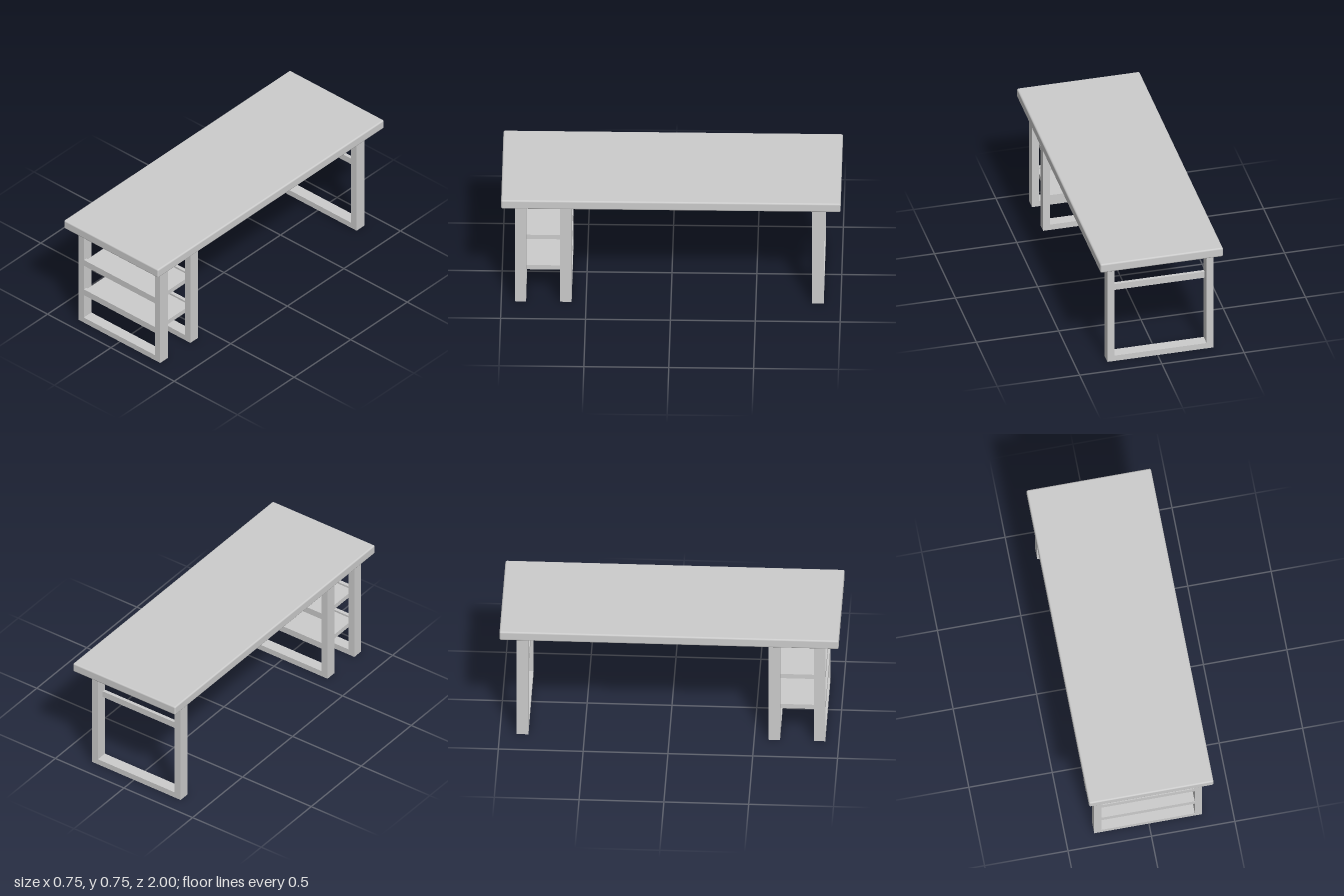
import * as THREE from 'three';
import { RoundedBoxGeometry } from 'three/addons/geometries/RoundedBoxGeometry.js';

const material = new THREE.MeshStandardMaterial({ color: 0xcccccc });

// Box given by its lower and upper limits on each axis
function box(name, [x0, x1], [y0, y1], [z0, z1]) {
  const mesh = new THREE.Mesh(new THREE.BoxGeometry(x1 - x0, y1 - y0, z1 - z0), material);
  mesh.name = name;
  mesh.position.set((x0 + x1) / 2, (y0 + y1) / 2, (z0 + z1) / 2);
  return mesh;
}

// Closed rectangular leg frame: outline with one opening, extruded along z
function legFrame(name, xCentre, z0, z1) {
  const outer = 0.323, inner = 0.28;
  const shape = new THREE.Shape([
    new THREE.Vector2(-outer, 0), new THREE.Vector2(outer, 0),
    new THREE.Vector2(outer, 0.692), new THREE.Vector2(-outer, 0.692),
  ]);
  shape.holes.push(new THREE.Path([
    new THREE.Vector2(-inner, 0.037), new THREE.Vector2(-inner, 0.655),
    new THREE.Vector2(inner, 0.655), new THREE.Vector2(inner, 0.037),
  ]));
  const geometry = new THREE.ExtrudeGeometry(shape, { depth: z1 - z0, bevelEnabled: false });
  const mesh = new THREE.Mesh(geometry, material);
  mesh.name = name;
  mesh.position.set(xCentre, 0, z0);
  return mesh;
}

export function createModel() {
  const desk = new THREE.Group();
  desk.name = 'desk';

  // Table top with softened edges
  const top = new THREE.Mesh(new RoundedBoxGeometry(0.746, 0.06, 2, 2, 0.01), material);
  top.name = 'tableTop';
  top.position.y = 0.72;
  desk.add(top);

  // Three leg frames
  desk.add(
    legFrame('frontFrame', -0.005, 0.853, 0.92),
    legFrame('middleFrame', -0.005, 0.585, 0.653),
    legFrame('backFrame', -0.017, -0.9, -0.83),
  );

  // Cross bar on the inner side of the back frame
  desk.add(box('crossBar', [-0.3, 0.265], [0.464, 0.505], [-0.852, -0.831]));

  // Shelves between the front and middle frames, with a lipped rail at each end
  for (const y of [0.2, 0.415]) {
    const shelf = new THREE.Group();
    shelf.name = 'shelf';
    shelf.add(
      box('shelfBoard', [-0.286, 0.276], [y, y + 0.03], [0.605, 0.9]),
      box('frontRail', [-0.286, 0.276], [y, y + 0.042], [0.897, 0.919]),
      box('rearRail', [-0.286, 0.276], [y, y + 0.042], [0.586, 0.608]),
    );
    desk.add(shelf);
  }
  return desk;
}
